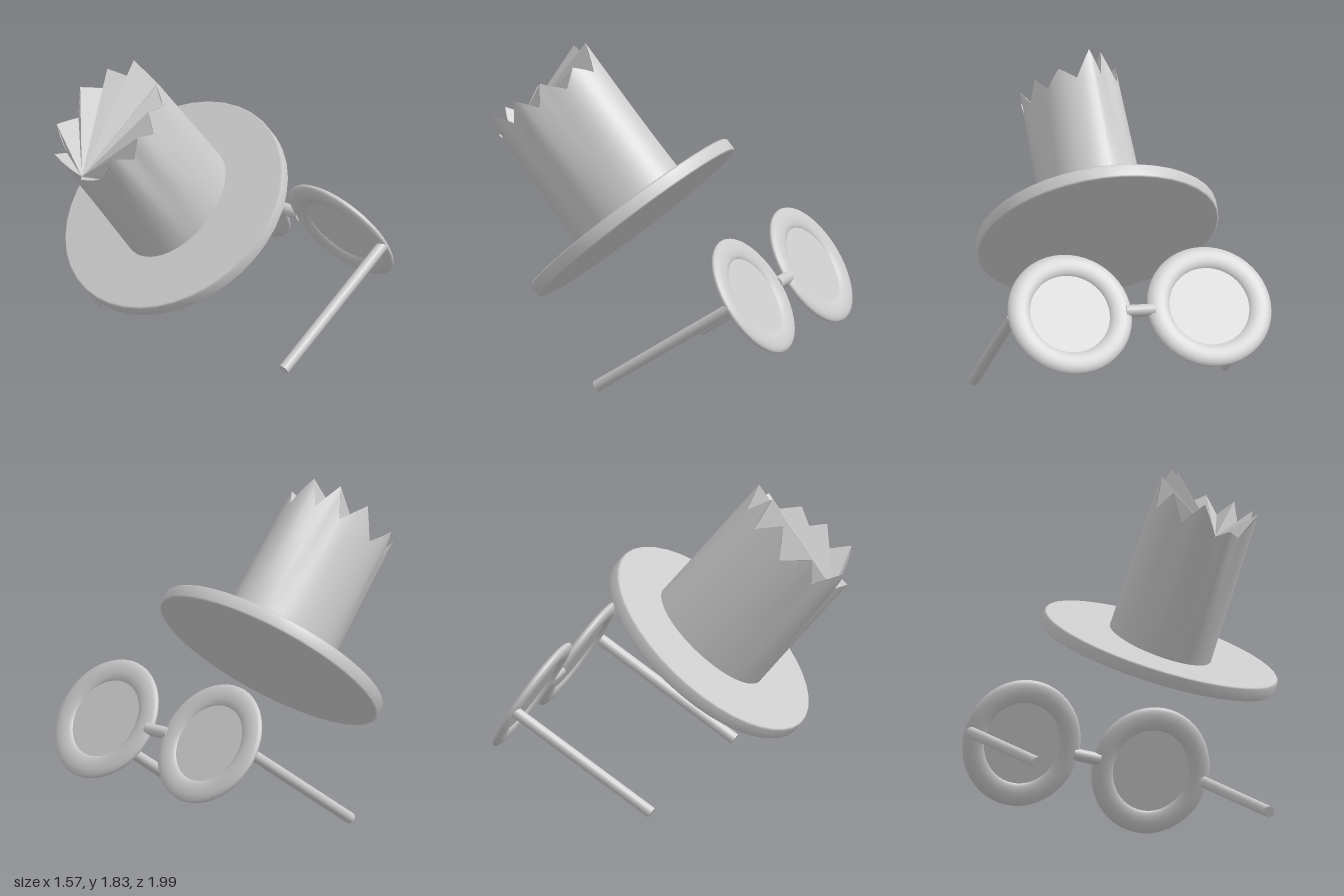
import * as THREE from 'three';

const DOUBLE = () => new THREE.MeshStandardMaterial({ color: 0xcccccc, side: THREE.DoubleSide });
const RX = 0.29, RZ = 0.38; // oval crown radii

// Ragged rim: [angle in degrees from the front, height, radius factor], valley and tip in turn
const RIM = [
  [-5, 0.755, 0.86], [8, 0.81, 0.97], [28, 0.77, 0.92], [55, 0.91, 1.02],
  [70, 0.77, 0.95], [85, 0.88, 1], [100, 0.76, 0.94], [114, 0.87, 0.9],
  [132, 0.75, 0.95], [150, 0.83, 0.98], [168, 0.74, 1], [187, 0.91, 1.04],
  [200, 0.77, 0.95], [213, 0.95, 0.86], [230, 0.77, 0.94], [250, 0.93, 0.92],
  [270, 0.77, 0.96], [291, 0.91, 0.98], [310, 0.77, 0.92], [330, 0.925, 0.96],
];

function add(parent, name, geometry, material = new THREE.MeshStandardMaterial({ color: 0xcccccc })) {
  const mesh = new THREE.Mesh(geometry, material);
  mesh.name = name;
  parent.add(mesh);
  return mesh;
}

function buffer(positions, index) {
  const g = new THREE.BufferGeometry();
  g.setAttribute('position', new THREE.Float32BufferAttribute(positions, 3));
  if (index) g.setIndex(index);
  g.computeVertexNormals();
  return g;
}

const ovalPoint = (deg, y, r) => {
  const a = THREE.MathUtils.degToRad(deg);
  return [RX * r * Math.sin(a), y, RZ * r * Math.cos(a) - 0.02];
};

// Fluted wall: smooth oval at the base, blending into the ragged rim
function crownWall() {
  const steps = 3, levels = 4, cols = RIM.length * steps;
  const pos = [], index = [];
  for (let l = 0; l <= levels; l++) {
    const t = l / levels;
    for (let c = 0; c < cols; c++) {
      const i = Math.floor(c / steps), f = (c % steps) / steps;
      const p = RIM[i], q = RIM[(i + 1) % RIM.length];
      const qa = i === RIM.length - 1 ? q[0] + 360 : q[0];
      const mix = THREE.MathUtils.lerp;
      pos.push(...ovalPoint(mix(p[0], qa, f), mix(p[1], q[1], f) * t, mix(1, mix(p[2], q[2], f), t)));
    }
  }
  for (let l = 0; l < levels; l++) {
    for (let c = 0; c < cols; c++) {
      const a = l * cols + c, b = l * cols + (c + 1) % cols;
      index.push(a, b, b + cols, a, b + cols, a + cols);
    }
  }
  return buffer(pos, index);
}

// Pleated top: a fan from the front valley to every rim edge
function crownTop() {
  const pts = RIM.map((p) => ovalPoint(...p));
  const pos = [];
  for (let i = 1; i < pts.length - 1; i++) pos.push(...pts[0], ...pts[i], ...pts[i + 1]);
  return buffer(pos);
}

function createHat() {
  const hat = new THREE.Group();
  hat.name = 'hat';
  // Brim disc with slightly softened edges
  const h = 0.042;
  const profile = [[0, -h], [0.69, -h], [0.7, -h + 0.01], [0.7, h - 0.01], [0.69, h], [0, h]];
  add(hat, 'brim', new THREE.LatheGeometry(profile.map(([x, y]) => new THREE.Vector2(x, y)), 40));
  const crown = new THREE.Group();
  crown.name = 'crown';
  crown.position.y = h;
  add(crown, 'crownWall', crownWall(), DOUBLE());
  add(crown, 'crownTop', crownTop(), DOUBLE());
  hat.add(crown);
  hat.position.set(-0.005, 0.845, 0.13);
  hat.rotation.x = 0.714;
  return hat;
}

function createGlasses() {
  const glasses = new THREE.Group();
  glasses.name = 'glasses';
  for (const [side, x, hinge, tip] of [['left', 0.405, 0.74, 0.75], ['right', -0.42, -0.748, -0.732]]) {
    // Flattened ring with a thin lens filling it
    const ring = add(glasses, side + 'Rim', new THREE.TorusGeometry(0.298, 0.068, 16, 48));
    ring.scale.z = 0.4;
    ring.position.x = x;
    const lens = add(glasses, side + 'Lens', new THREE.CylinderGeometry(0.24, 0.24, 0.016, 40));
    lens.rotation.x = Math.PI / 2;
    lens.position.x = x;
    // Straight temple arm
    const path = new THREE.LineCurve3(new THREE.Vector3(hinge, 0, 0), new THREE.Vector3(tip, 0, 0.985));
    const arm = add(glasses, side + 'Temple', new THREE.CylinderGeometry(0.033, 0.033, path.getLength(), 16));
    arm.position.copy(path.getPoint(0.5));
    arm.quaternion.setFromUnitVectors(new THREE.Vector3(0, 1, 0), path.getTangent(0));
  }
  const bridge = add(glasses, 'bridge', new THREE.CylinderGeometry(0.036, 0.036, 0.17, 16));
  bridge.rotation.z = Math.PI / 2;
  bridge.position.x = -0.01;
  glasses.position.set(0, 0.565, -0.8);
  glasses.rotation.x = 0.573;
  return glasses;
}

export function createModel() {
  const model = new THREE.Group();
  model.name = 'hatAndGlasses';
  model.add(createHat(), createGlasses());
  return model;
}
